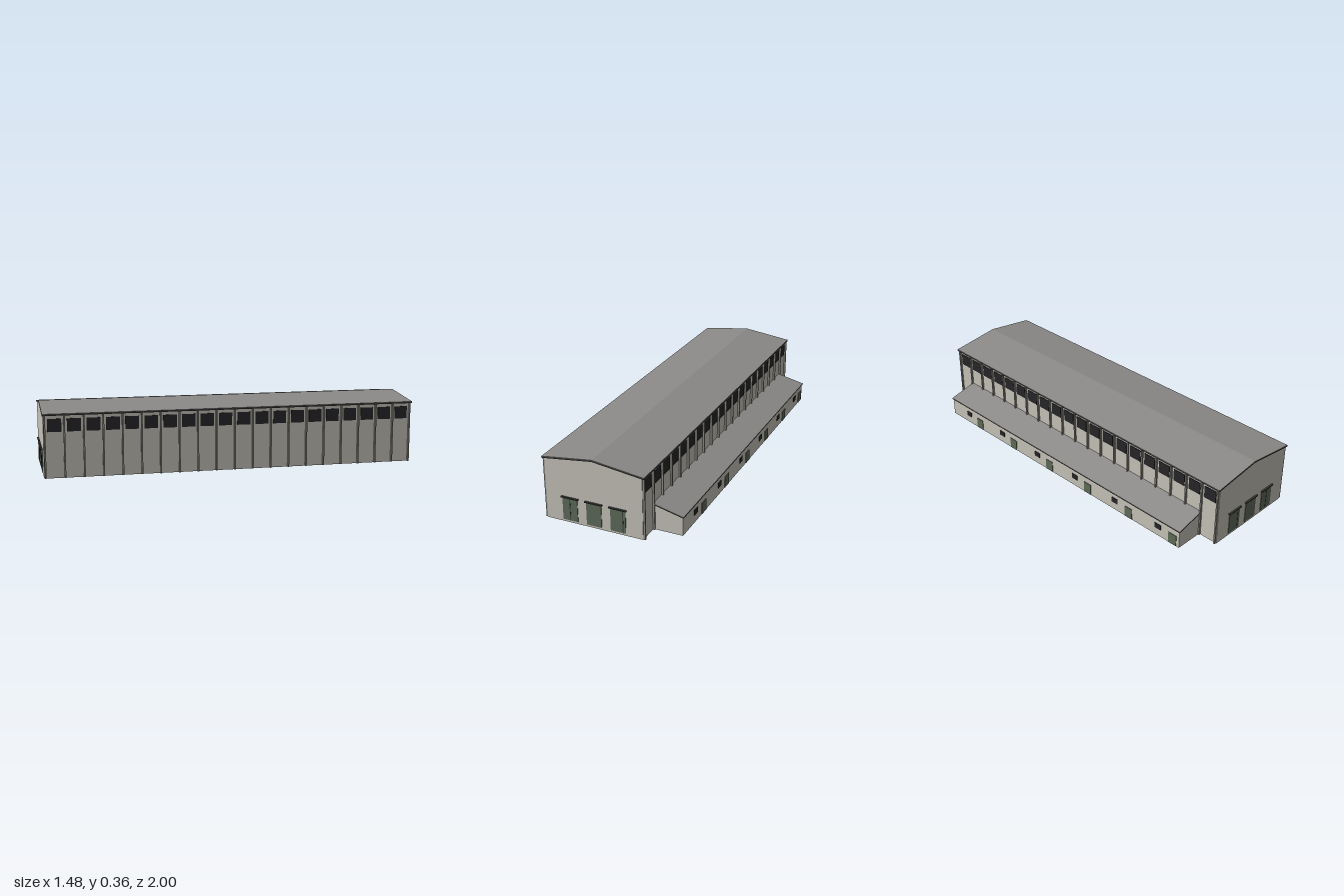
import * as THREE from 'three';

const mat = (name, color, extra = {}) => {
  const m = new THREE.MeshStandardMaterial({ color, ...extra });
  m.name = name;
  return m;
};

export function createModel() {
  const wall = mat('wall plaster', 0xc6c2b9);
  const column = mat('column grey', 0x8c8a83);
  const roof = mat('roof sheet', 0x8b8a88);
  const trim = mat('dark trim', 0x3a3a39);
  const glass = mat('dark glass', 0x262528);
  const door = mat('green door', 0x5f6b59);

  const model = new THREE.Group();
  model.name = 'warehouse';
  const hall = new THREE.Group();
  hall.name = 'building';
  hall.position.x = 0.039;
  hall.rotation.y = -0.4877; // the building stands askew on its plot
  model.add(hall);

  const HW = 0.257, HL = 0.984;        // hall half width and half length
  const RW = 0.269, RL = 0.989;        // roof half width and half length
  const EAVE = 0.328, RIDGE = 0.363;   // roof top heights
  const AW = 0.41, AL = 0.876;         // lean-to outer x and half length

  // Extrudes an x-y outline along z, centred on z = 0
  const extrude = (name, points, halfLength, material) => {
    const shape = new THREE.Shape(points.map(([x, y]) => new THREE.Vector2(x, y)));
    const geo = new THREE.ExtrudeGeometry(shape, { depth: halfLength * 2, bevelEnabled: false });
    geo.translate(0, 0, -halfLength);
    const mesh = new THREE.Mesh(geo, material);
    mesh.name = name;
    hall.add(mesh);
  };
  const box = (name, size, pos, material) => {
    const mesh = new THREE.Mesh(new THREE.BoxGeometry(...size), material);
    mesh.position.set(...pos);
    mesh.name = name;
    hall.add(mesh);
  };
  // Sloping strip of the given thickness below its top line
  const slope = (x0, y0, x1, y1, t) => [[x0, y0 - t], [x1, y1 - t], [x1, y1], [x0, y0]];

  // Main hall
  extrude('hallWalls', [[-HW, 0], [HW, 0], [HW, 0.324], [0, 0.357], [-HW, 0.324]], HL, wall);
  for (const s of [-1, 1]) {
    const pts = (t, lift) => {
      const p = slope(0, RIDGE + lift, s * RW, EAVE + lift, t);
      return s > 0 ? p : p.reverse();
    };
    extrude('roofTrim', pts(0.007, -0.002), RL, trim);
    extrude('roofSheet', pts(0.002, 0), RL, roof);
  }

  // Long sides: columns and high windows
  const BAYS = 20, PITCH = 0.0977;
  for (const s of [-1, 1]) {
    for (let i = 0; i <= BAYS; i++) {
      const z = (i - BAYS / 2) * PITCH;
      box('column', [0.012, 0.32, 0.008], [s * (HW + 0.004), 0.16, z], column);
      if (i < BAYS) {
        box('highWindow', [0.004, 0.066, 0.07], [s * (HW + 0.001), 0.269, z + PITCH / 2], glass);
      }
    }
  }

  // Gable doors with lintels and leaf joints
  for (const s of [-1, 1]) {
    [-0.128, 0, 0.128].forEach((x, i) => {
      box('gableDoor', [0.08, 0.12, 0.006], [x, 0.072, s * HL], door);
      box('doorLintel', [0.092, 0.006, 0.012], [x, 0.134, s * (HL + 0.003)], trim);
      if (i !== 1) {
        const joint = x + (i === 0 ? s * 0.026 : 0);
        box('doorJoint', [0.004, 0.12, 0.004], [joint, 0.072, s * (HL + 0.002)], trim);
      }
    });
  }

  // Lean-to along the left-hand side
  extrude('leanToWalls', [[-AW, 0], [-HW, 0], [-HW, 0.136], [-AW, 0.099]], AL, wall);
  extrude('leanToTrim', slope(-AW - 0.005, 0.1, -HW, 0.138, 0.004), AL + 0.005, trim);
  extrude('leanToRoof', slope(-AW - 0.005, 0.102, -HW, 0.14, 0.002), AL + 0.005, roof);
  for (let i = 0; i < 6; i++) {
    const z = -0.88 + i * 0.2935;
    box('leanToWindow', [0.006, 0.028, 0.04], [-AW, 0.056, z + 0.15], glass);
    box('leanToDoor', [0.006, 0.06, 0.05], [-AW, 0.032, z + 0.246], door);
  }
  return model;
}
